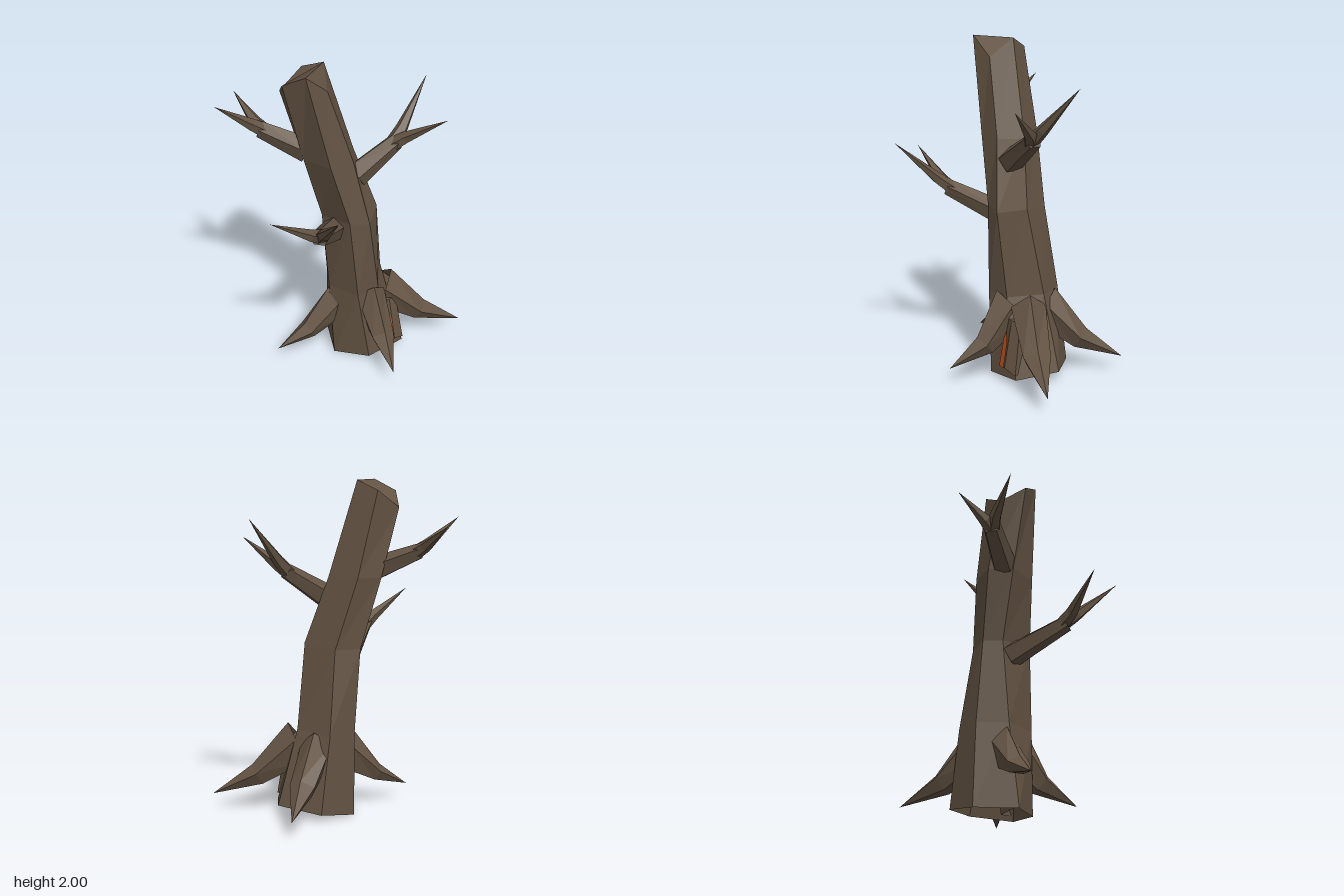
import * as THREE from 'three';

const V = (x, y, z) => new THREE.Vector3(x, y, z);

export function createModel() {
  const bark = new THREE.MeshStandardMaterial({ color: 0x635343, flatShading: true, side: THREE.DoubleSide });
  bark.name = 'bark';
  const ember = new THREE.MeshStandardMaterial({ color: 0xd65f24, flatShading: true, side: THREE.DoubleSide });
  ember.name = 'ember orange';

  const tree = new THREE.Group();
  tree.name = 'deadTree';

  function addMesh(name, points, material, parent = tree) {
    const geo = new THREE.BufferGeometry().setFromPoints(points);
    geo.computeVertexNormals();
    const mesh = new THREE.Mesh(geo, material);
    mesh.name = name;
    parent.add(mesh);
  }

  // Triangles joining successive rings, open at the start and capped at the end
  function loft(rings) {
    const out = [];
    for (let r = 0; r < rings.length - 1; r++) {
      const a = rings[r], b = rings[r + 1], n = a.length;
      for (let i = 0; i < n; i++) {
        const j = (i + 1) % n;
        out.push(a[i], a[j], b[j], a[i], b[j], b[i]);
      }
    }
    const last = rings[rings.length - 1];
    for (let i = 1; i < last.length - 1; i++) out.push(last[0], last[i], last[i + 1]);
    return out;
  }

  // Tapered limb; each station is [x, y, z, half width, half height]
  function limb(name, stations, sides, parent) {
    const pts = stations.map(s => V(s[0], s[1], s[2]));
    const dir = pts[pts.length - 1].clone().sub(pts[0]).normalize();
    const u = V(0, 1, 0).cross(dir).normalize();
    const v = dir.clone().cross(u);
    const rings = stations.map((s, k) => Array.from({ length: sides }, (_, i) => {
      const t = Math.PI / 2 + i / sides * Math.PI * 2;
      return pts[k].clone()
        .addScaledVector(u, Math.cos(t) * s[3])
        .addScaledVector(v, Math.sin(t) * s[4]);
    }));
    addMesh(name, loft(rings), bark, parent);
  }

  // Hollow trunk: leaning hexagonal rings, starting at the back corner
  const trunk = [
    [[.07, .07, -.42], [-.165, .04, -.27], [-.165, 0, -.03], [.06, 0, .10], [.25, .01, -.03], [.29, .04, -.28]],
    [[.06, .52, -.285], [-.155, .5, -.2], [-.155, .5, -.02], [.0, .5, .09], [.205, .5, .03], [.213, .5, -.13]],
    [[.11, 1.03, -.195], [-.11, 1, -.13], [-.145, 1, .03], [-.05, 1, .10], [.17, 1.03, .07], [.213, 1, -.05]],
    [[.02, 1.42, -.085], [-.17, 1.42, -.01], [-.19, 1.42, .15], [-.06, 1.43, .225], [.12, 1.42, .17], [.14, 1.42, .02]],
    [[-.05, 1.99, .075], [-.19, 1.93, .12], [-.19, 1.83, .28], [-.06, 1.93, .36], [.065, 2, .295], [.07, 1.88, .15]],
  ].map(ring => ring.map(p => V(...p)));
  addMesh('trunk', loft(trunk), bark);

  // Pointed roots arching out of the trunk: start, knee, tip
  const roots = [
    ['rootLeft', [.155, .43, -.10, .10, .14], [.335, .22, -.06, .075, .07], [.535, .1, .025, 0, 0]],
    ['rootBackLeft', [.13, .42, -.22, .11, .14], [.275, .22, -.43, .085, .07], [.43, .1, -.66, 0, 0]],
    ['rootBackRight', [-.03, .41, -.20, .10, .13], [-.15, .22, -.39, .08, .07], [-.32, .1, -.58, 0, 0]],
    ['rootFront', [.005, .36, .02, .085, .13], [-.04, .195, .23, .07, .055], [-.1, .1, .43, 0, 0]],
  ];
  for (const [name, ...stations] of roots) limb(name, stations, 5);

  // Branches: an arm that forks into two spikes at the elbow
  const branches = [
    ['lowerFrontBranch', [.025, .93, .06], [.235, 1.095, .35], [[.54, 1.39, .47], [.2, 1.305, .665]]],
    ['upperRightBranch', [-.09, 1.46, .17], [-.3, 1.57, .345], [[-.54, 1.72, .35], [-.35, 1.775, .61]]],
    ['upperBackBranch', [.09, 1.29, -.04], [.16, 1.455, -.29], [[.1, 1.77, -.58], [.44, 1.655, -.42]]],
  ];
  for (const [name, start, elbow, tips] of branches) {
    const group = new THREE.Group();
    group.name = name;
    tree.add(group);
    limb('arm', [[...start, .078, .078], [...elbow, .056, .05]], 5, group);
    for (const tip of tips) {
      // Begin each spike slightly inside the arm
      const base = V(...elbow).lerp(V(...start), .12);
      const mid = V(...elbow).lerp(V(...tip), .2);
      limb('spike', [[base.x, base.y, base.z, .045, .045], [mid.x, mid.y, mid.z, .038, .036], [...tip, 0, 0]], 5, group);
    }
  }

  // Bark bulge low on the left side
  const bulge = [
    [[.2, .08, -.12], [.26, .08, -.12], [.305, .10, -.2], [.297, .07, -.28], [.2, .07, -.28]],
    [[.15, .38, -.14], [.225, .38, -.14], [.245, .38, -.2], [.235, .38, -.26], [.15, .38, -.26]],
  ].map(ring => ring.map(p => V(...p)));
  addMesh('hollowBulge', loft(bulge), bark);

  // Glowing hollow: a pointed plate just above the bulge's front facet
  const onFacet = (across, up) => bulge[0][1].clone().lerp(bulge[0][2], across)
    .lerp(bulge[1][1].clone().lerp(bulge[1][2], across), up).add(V(.006, 0, .004));
  const outline = [[0, 0], [1, 0], [1, .5], [.6, .77], [.2, .58]].map(p => onFacet(...p));
  const glow = [];
  for (let i = 1; i < outline.length - 1; i++) glow.push(outline[0], outline[i], outline[i + 1]);
  addMesh('glowingHollow', glow, ember);

  return tree;
}
